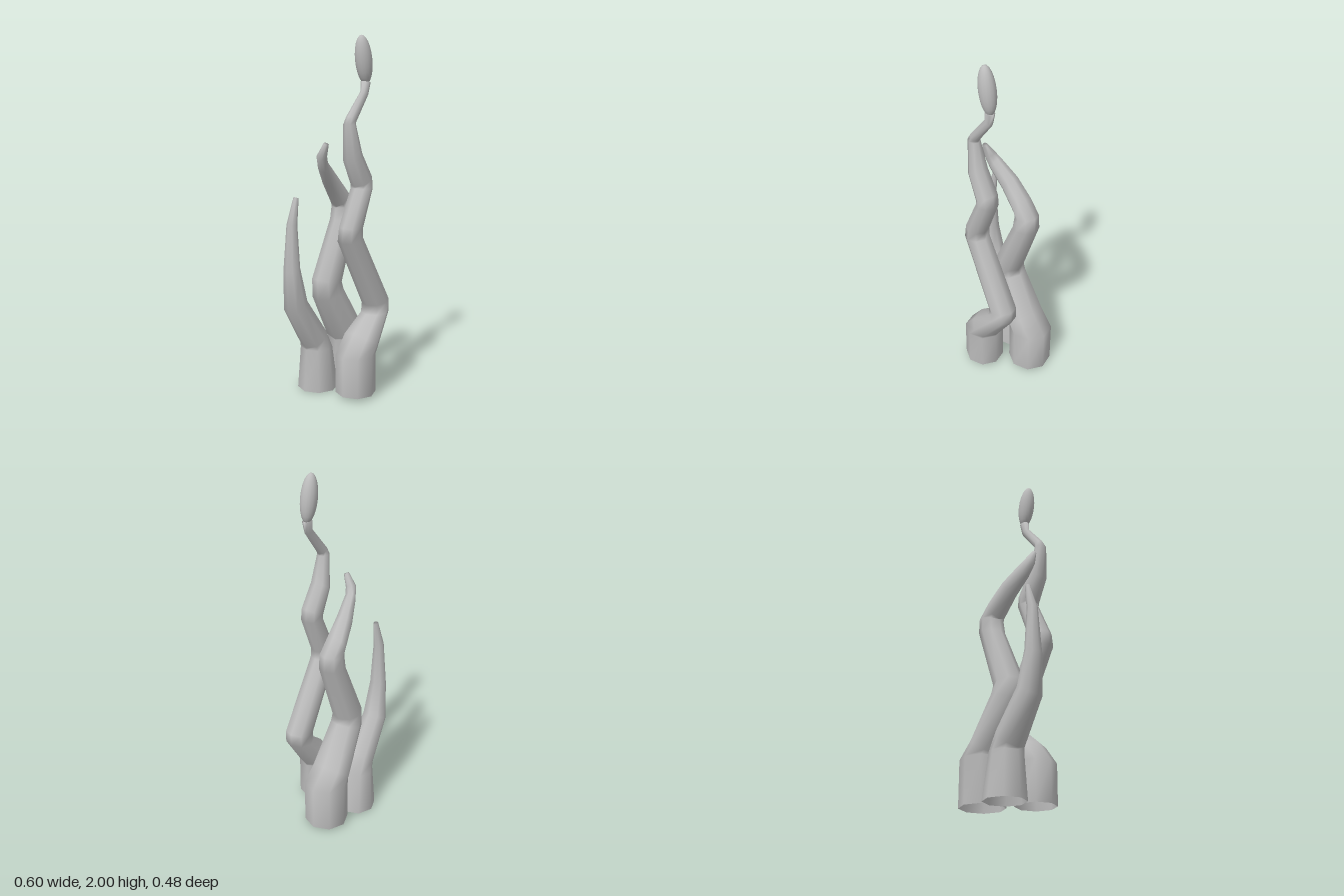
import * as THREE from 'three';

const SIDES = 8;

// Skins a stalk, open at the base, over rings of [x, y, z, sideX, sideY, depth, depthY]:
// centre, in-plane half width vector, half depth along z and its slope.
function stalkGeometry(rings) {
  const pos = [], index = [];
  for (const [x, y, z, sx, sy, d, dy = 0] of rings) {
    for (let j = 0; j < SIDES; j++) {
      const a = (j / SIDES) * Math.PI * 2, c = Math.cos(a), s = Math.sin(a);
      pos.push(x + sx * c, y + sy * c + dy * s, z + d * s);
    }
  }
  const last = (rings.length - 1) * SIDES;
  for (let i = 0; i < last; i += SIDES) {
    for (let j = 0; j < SIDES; j++) {
      const a = i + j, b = i + ((j + 1) % SIDES);
      index.push(a, a + SIDES, b, b, a + SIDES, b + SIDES);
    }
  }
  // closed tip, shaded smoothly with the sides
  for (let j = 1; j < SIDES - 1; j++) index.push(last, last + j + 1, last + j);
  const g = new THREE.BufferGeometry();
  g.setAttribute('position', new THREE.Float32BufferAttribute(pos, 3));
  g.setIndex(index);
  g.computeVertexNormals();
  return g;
}

export function createModel() {
  const group = new THREE.Group();
  const grey = new THREE.MeshStandardMaterial({ color: 0xbcbcbc, side: THREE.DoubleSide });
  grey.name = 'stalk grey';

  const add = (name, geometry) => {
    const mesh = new THREE.Mesh(geometry, grey);
    mesh.name = name;
    group.add(mesh);
    return mesh;
  };

  // tall front stalk, zigzagging up to the bud
  add('frontStalk', stalkGeometry([
    [-0.013, 0.02, 0.128, 0.113, 0, 0.113],
    [-0.013, 0.245, 0.128, 0.113, 0, 0.113],
    [0.035, 0.31, 0.128, 0.067, -0.055, 0.113],
    [0.16, 0.455, 0.128, 0.08, 0.003, 0.08],
    [0.163, 0.517, 0.128, 0.076, 0.014, 0.078],
    [-0.062, 0.91, 0.128, 0.071, 0.012, 0.069],
    [-0.058, 0.975, 0.128, 0.064, -0.006, 0.066],
    [0.034, 1.185, 0.128, 0.056, -0.002, 0.064],
    [0.03, 1.225, 0.128, 0.053, 0.03, 0.063],
    [-0.045, 1.36, 0.128, 0.046, 0.025, 0.057],
    [-0.071, 1.535, 0.128, 0.034, -0.003, 0.034],
    [-0.06, 1.56, 0.128, 0.023, -0.018, 0.031],
    [0.052, 1.695, 0.128, 0.024, -0.012, 0.019],
    [0.063, 1.755, 0.128, 0.028, -0.004, 0.026],
  ]));

  // slender bud on its tip
  const bud = add('bud', new THREE.SphereGeometry(1, 16, 12));
  bud.scale.set(0.048, 0.131, 0.045);
  bud.position.set(0.045, 1.87, 0.128);
  bud.rotation.z = 0.17;

  // short stalk at the back right
  add('shortStalk', stalkGeometry([
    [-0.05, 0, -0.125, 0.115, 0, 0.115],
    [-0.06, 0.245, -0.125, 0.087, 0, 0.094],
    [-0.088, 0.31, -0.125, 0.057, 0.055, 0.088],
    [-0.232, 0.53, -0.125, 0.06, 0.035, 0.07],
    [-0.26, 0.74, -0.125, 0.042, 0.012, 0.05],
    [-0.255, 0.99, -0.125, 0.03, -0.004, 0.029],
    [-0.22, 1.135, -0.125, 0.014, -0.005, 0.014],
  ]));

  // middle stalk, whose tip curls forward
  add('curledStalk', stalkGeometry([
    [0.175, 0.01, -0.075, 0.125, 0, 0.125],
    [0.175, 0.265, -0.075, 0.125, 0, 0.125],
    [0.125, 0.32, -0.075, 0.077, 0.052, 0.12],
    [-0.015, 0.565, -0.075, 0.087, 0.03, 0.09],
    [-0.024, 0.64, -0.075, 0.082, -0.015, 0.086],
    [0.117, 0.98, -0.075, 0.074, 0.004, 0.073],
    [0.121, 1.058, -0.076, 0.066, 0.012, 0.068],
    [0.083, 1.107, -0.075, 0.022, 0.055, 0.065],
    [-0.01, 1.215, -0.062, 0.03, 0.04, 0.05, -0.01],
    [-0.1, 1.307, -0.035, 0.018, 0.036, 0.035, -0.012],
    [-0.129, 1.36, -0.018, 0.031, 0.01, 0.027, -0.012],
    [-0.13, 1.43, 0.015, 0.015, 0, 0.013, -0.006],
  ]));

  return group;
}
